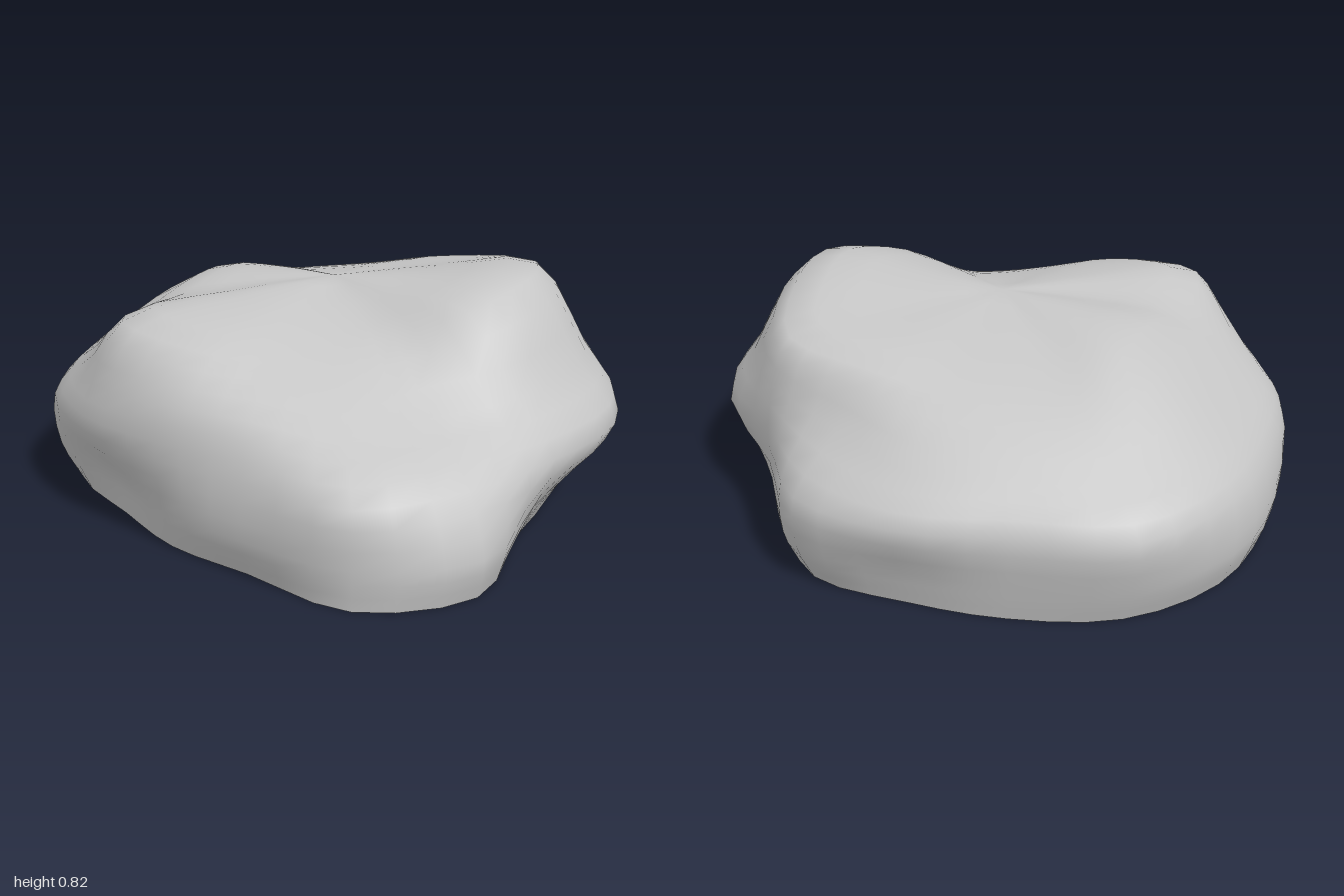
import * as THREE from 'three';
import { mergeVertices } from 'three/addons/utils/BufferGeometryUtils.js';

// Vertical slices every 22.5 degrees, starting at +x and turning toward +z:
// [radius at y 0, at y 0.14, at y 0.33, shoulder radius, shoulder y, crest radius, crest y]
const SLICES = [
  [0.77, 0.85, 1.00, 0.87, 0.53, 0.68, 0.80],
  [0.80, 0.87, 0.94, 0.79, 0.50, 0.58, 0.74],
  [1.02, 1.05, 0.95, 0.71, 0.48, 0.43, 0.66],
  [1.01, 1.02, 1.00, 0.79, 0.46, 0.48, 0.62],
  [0.82, 0.87, 0.85, 0.77, 0.50, 0.57, 0.62],
  [0.79, 0.82, 0.85, 0.82, 0.51, 0.69, 0.66],
  [0.79, 0.81, 0.92, 0.88, 0.49, 0.77, 0.69],
  [0.91, 0.98, 0.99, 0.88, 0.47, 0.62, 0.66],
  [0.96, 1.00, 0.97, 0.85, 0.46, 0.52, 0.70],
  [0.98, 1.03, 1.01, 0.88, 0.46, 0.54, 0.68],
  [0.95, 1.00, 1.03, 0.87, 0.45, 0.61, 0.60],
  [0.87, 0.90, 0.92, 0.80, 0.46, 0.56, 0.61],
  [0.84, 0.88, 0.94, 0.80, 0.46, 0.57, 0.63],
  [0.89, 0.95, 0.95, 0.76, 0.50, 0.63, 0.67],
  [0.81, 0.85, 0.86, 0.83, 0.55, 0.76, 0.71],
  [0.75, 0.82, 0.97, 0.87, 0.53, 0.71, 0.78],
];
const CENTRE_Y = 0.75;
const RINGS = 18;
const SEGMENTS = 48;

// Curve running up one slice from the ground to the middle of the top
function sliceCurve([r0, r1, r2, r3, y3, r4, y4], i) {
  const a = (i / SLICES.length) * Math.PI * 2;
  const at = (r, y) => new THREE.Vector3(Math.cos(a) * r, y, Math.sin(a) * r);
  return new THREE.CatmullRomCurve3([
    at(r0, 0), at(r1, 0.14), at(r2, 0.33), at(r3, y3), at(r4, y4),
    at(r4 * 0.5, y4 * 0.45 + CENTRE_Y * 0.55 + 0.01), at(0, CENTRE_Y),
  ]);
}

function geometryFrom(points, indices) {
  const g = new THREE.BufferGeometry().setFromPoints(points);
  g.setIndex(indices);
  const merged = mergeVertices(g, 1e-4);
  merged.computeVertexNormals();
  return merged;
}

export function createModel() {
  const group = new THREE.Group();
  group.name = 'boulder';
  const stone = new THREE.MeshStandardMaterial({ color: 0xc5c5c5 });
  stone.name = 'grey stone';

  // Closed loops through all slices at each step up the rock
  const columns = SLICES.map((s, i) => sliceCurve(s, i).getPoints(RINGS));
  const loops = [];
  for (let j = 0; j <= RINGS; j++) {
    const loop = new THREE.CatmullRomCurve3(columns.map((c) => c[j]), true);
    loops.push(loop.getPoints(SEGMENTS).slice(0, SEGMENTS));
  }

  // Rounded, smooth body
  const indices = [];
  for (let j = 0; j < RINGS; j++) {
    for (let i = 0; i < SEGMENTS; i++) {
      const n = (i + 1) % SEGMENTS;
      const a = j * SEGMENTS + i, b = j * SEGMENTS + n;
      const c = a + SEGMENTS, d = b + SEGMENTS;
      indices.push(a, c, b);
      if (j < RINGS - 1) indices.push(b, c, d);
    }
  }
  const body = new THREE.Mesh(geometryFrom(loops.flat(), indices), stone);
  body.name = 'rockBody';

  // Flat underside
  const baseIndices = [];
  for (let i = 0; i < SEGMENTS; i++) baseIndices.push(SEGMENTS, i, (i + 1) % SEGMENTS);
  const basePoints = [...loops[0], new THREE.Vector3(0, 0, 0)];
  const base = new THREE.Mesh(geometryFrom(basePoints, baseIndices), stone);
  base.name = 'flatBase';

  group.add(body, base);
  return group;
}
